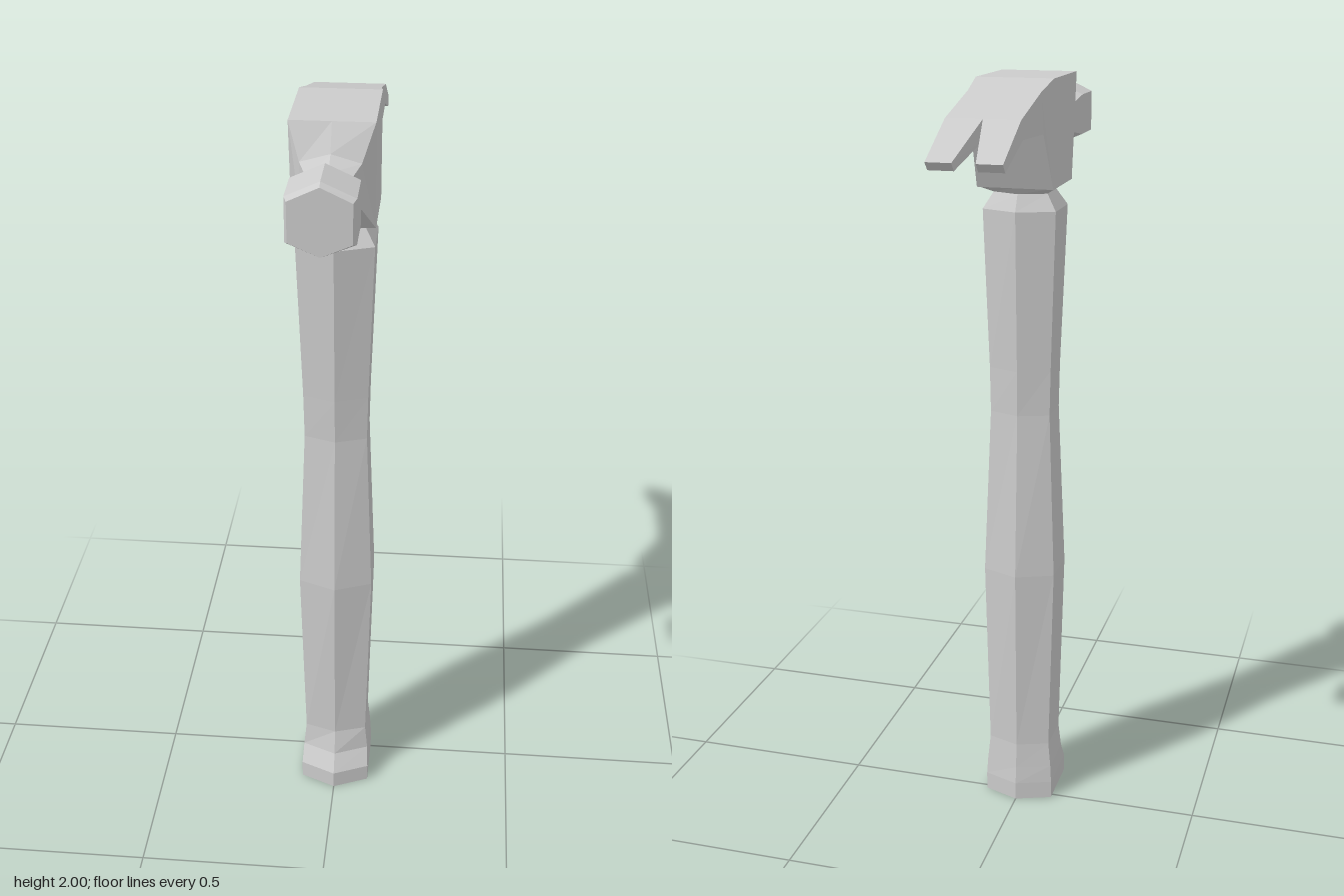
import * as THREE from 'three';

const material = new THREE.MeshStandardMaterial({ color: 0xcccccc, flatShading: true });

// Skins a list of matching loops, each counterclockwise as seen from the last one.
function loft(name, rings, capStart = true, capEnd = true) {
  const pos = [];
  const tri = (a, b, c) => pos.push(...a, ...b, ...c);
  const n = rings[0].length;
  for (let r = 0; r < rings.length - 1; r++) {
    const a = rings[r], b = rings[r + 1];
    for (let i = 0; i < n; i++) {
      const j = (i + 1) % n;
      tri(a[i], a[j], b[j]);
      tri(a[i], b[j], b[i]);
    }
  }
  const first = rings[0], last = rings[rings.length - 1];
  for (let i = 1; i < n - 1; i++) {
    if (capStart) tri(first[0], first[i + 1], first[i]);
    if (capEnd) tri(last[0], last[i], last[i + 1]);
  }
  const geometry = new THREE.BufferGeometry();
  geometry.setAttribute('position', new THREE.Float32BufferAttribute(pos, 3));
  geometry.computeVertexNormals();
  const mesh = new THREE.Mesh(geometry, material);
  mesh.name = name;
  return mesh;
}

// Six-sided handle section: half width, front ridge, side edges, back ridge
const handleRing = ([y, w, zf, cf, cb, zb]) => [
  [w, y, cf], [w, y, cb], [0, y, zb], [-w, y, cb], [-w, y, cf], [0, y, zf],
];

// Four-sided head section between two x values; top and bottom may be slanted in z
const headRing = (x1, x2, [zt, yt, zb, yb]) => [
  [x1, yt, zt], [x1, yb, zb], [x2, yb, zb], [x2, yt, zt],
];

// Six-sided striker section, pointed at top and bottom
const strikerRing = ([z, w, top, yt, yb, bottom]) => [
  [0, top, z], [-w, yt, z], [-w, yb, z], [0, bottom, z], [w, yb, z], [w, yt, z],
];

export function createModel() {
  const model = new THREE.Group();
  model.name = 'hammer';

  // Handle, flared at the foot and ending in a collar under the head
  model.add(loft('handle', [
    [0, 0.095, 0.18, 0.14, -0.015, -0.05],
    [0.05, 0.095, 0.18, 0.14, -0.015, -0.05],
    [0.1, 0.092, 0.15, 0.112, -0.013, -0.045],
    [0.17, 0.085, 0.133, 0.107, -0.01, -0.04],
    [0.69, 0.097, 0.148, 0.11, -0.012, -0.052],
    [1.14, 0.08, 0.123, 0.096, -0.002, -0.03],
    [1.26, 0.082, 0.127, 0.098, -0.002, -0.033],
    [1.675, 0.095, 0.148, 0.112, -0.012, -0.048],
    [1.717, 0.07, 0.118, 0.09, 0.002, -0.026],
    [1.737, 0.096, 0.14, 0.14, -0.05, -0.05],
  ].map(handleRing)));

  // Head block and the start of the claw
  const front = [0.18, 2, 0.14, 1.735];
  const split = [-0.315, 1.93, -0.3, 1.884];
  model.add(loft('headBlock', [
    headRing(0.098, -0.098, front),
    headRing(0.098, -0.098, [-0.05, 2, -0.05, 1.735]),
    headRing(0.09, -0.09, [-0.14, 1.976, -0.118, 1.876]),
    headRing(0.09, -0.09, split),
  ], false, false));

  // Two claw prongs with a V notch between them
  const tip = [-0.463, 1.85, -0.445, 1.83];
  model.add(loft('leftProng', [headRing(0.09, 0, split), headRing(0.09, 0.028, tip)], false));
  model.add(loft('rightProng', [headRing(0, -0.09, split), headRing(-0.028, -0.09, tip)], false));

  // Neck and striking face, growing out of the slanted block front
  const w = 0.098, [zt, yt, zb, yb] = front;
  const root = [[0, yt, zt], [-w, yt, zt], [-w, yb, zb], [0, yb, zb], [w, yb, zb], [w, yt, zt]];
  model.add(loft('striker', [root, ...[
    [0.217, 0.07, 1.938, 1.918, 1.81, 1.79],
    [0.265, 0.047, 1.912, 1.895, 1.835, 1.818],
    [0.303, 0.051, 1.92, 1.9, 1.835, 1.816],
    [0.34, 0.077, 1.963, 1.928, 1.825, 1.793],
    [0.446, 0.077, 1.963, 1.928, 1.825, 1.793],
    [0.463, 0.07, 1.956, 1.923, 1.831, 1.8],
  ].map(strikerRing)], false));

  return model;
}
